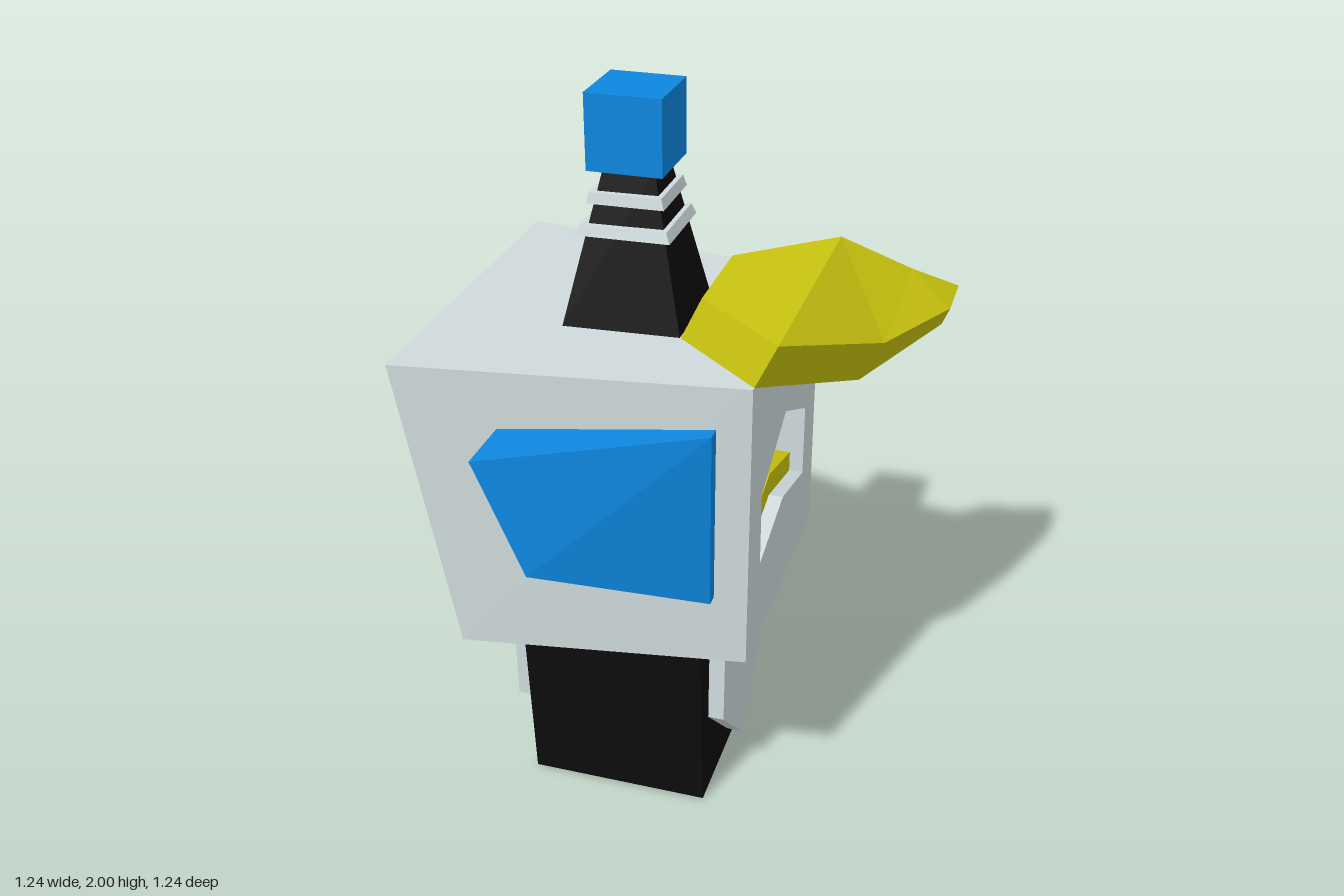
import * as THREE from 'three';

const mat = (color, side = THREE.FrontSide) =>
  new THREE.MeshStandardMaterial({ color, flatShading: true, side });
const white = mat(0xcfdadc), black = mat(0x0c0c0c), blue = mat(0x0d87e0),
  yellow = mat(0xc9c40f), grey = mat(0xe0e0e0);

// Joins two matching loops, counter-clockwise as seen from loop b's side.
function loft(a, b, { caps = true, skip = -1, capTris } = {}) {
  const pos = [], n = a.length;
  const tri = (...pts) => pts.forEach((p) => pos.push(...p));
  for (let i = 0; i < n; i++) {
    if (i === skip) continue;
    const j = (i + 1) % n;
    tri(a[i], a[j], b[j]);
    tri(a[i], b[j], b[i]);
  }
  if (caps) {
    const tris = capTris ?? Array.from({ length: n - 2 }, (_, i) => [0, i + 1, i + 2]);
    for (const [i, j, k] of tris) {
      tri(b[i], b[j], b[k]);
      tri(a[k], a[j], a[i]);
    }
  }
  const g = new THREE.BufferGeometry();
  g.setAttribute('position', new THREE.Float32BufferAttribute(pos, 3));
  g.computeVertexNormals();
  return g;
}

// Four-cornered horizontal loop with its own half depth at the back and front.
const quad = (y, x0, x1, zBack, zFront = zBack) =>
  [[x0, y, zBack], [x1, y, zFront], [x1, y, -zFront], [x0, y, -zBack]];

const shapeOf = (pts) => new THREE.Shape(pts.map(([u, v]) => new THREE.Vector2(u, v)));

// Flat outline turned to face +x, starting at x, optionally given thickness.
function facing(shape, x, depth = 0) {
  const g = depth
    ? new THREE.ExtrudeGeometry(shape, { depth, bevelEnabled: false })
    : new THREE.ShapeGeometry(shape);
  return g.rotateY(Math.PI / 2).translate(x, 0, 0);
}

export function createModel() {
  const model = new THREE.Group();
  const add = (name, geometry, material) => {
    const m = new THREE.Mesh(geometry, material);
    m.name = name;
    model.add(m);
  };

  // Neck block with a pale underside
  add('neck', loft(quad(0.002, -0.39, 0.12, 0.265, 0.26), quad(0.61, -0.39, 0.12, 0.305, 0.295)), black);
  add('neckBase', loft(quad(0, -0.39, 0.12, 0.265, 0.26), quad(0.002, -0.39, 0.12, 0.265, 0.26)), grey);

  // Panels on the neck
  add('frontPanel', facing(shapeOf(
    [[0, 0.05], [0.21, 0.265], [0.2, 0.585], [-0.2, 0.585], [-0.21, 0.265]]), 0.115, 0.05), white);
  add('backPanel', facing(shapeOf(
    [[-0.24, 0.245], [0.24, 0.245], [0.24, 0.56], [-0.24, 0.56]]), -0.445, 0.06), white);

  // Head shell, open at the front, closed by a face with a mouth opening
  add('head', loft(quad(0.61, -0.48, 0.265, 0.49, 0.365), quad(1.408, -0.62, 0.265, 0.49, 0.355),
    { skip: 1 }), white);
  const mouth = [[-0.24, 0.84], [0, 0.9], [0.24, 0.84], [0.24, 1.05], [0, 1.165], [-0.24, 1.05]];
  const face = shapeOf([[-0.365, 0.61], [0.365, 0.61], [0.355, 1.408], [-0.355, 1.408]]);
  face.holes.push(new THREE.Path(mouth.map(([u, v]) => new THREE.Vector2(u, v))));
  add('face', facing(face, 0.265), white);

  // Mouth recess, its dark back and the lip
  const ring = (x) => mouth.map(([u, v]) => [x, v, -u]);
  add('mouthRecess', loft(ring(0.265), ring(0.18), { caps: false }), white);
  add('mouthBack', facing(shapeOf(mouth), 0.18), black);
  add('lip', facing(shapeOf(
    [[-0.24, 0.84], [0, 0.9], [0.24, 0.84], [0.24, 0.9], [0, 0.965], [-0.24, 0.9]]), 0.181, 0.045), yellow);

  // Ears: wedges flaring out toward the back
  const ear = [ // x, y, inner z, outer z
    [-0.23, 0.945, 0.42, 0.612], [0.18, 0.81, 0.36, 0.41],
    [0.18, 1.295, 0.36, 0.41], [-0.355, 1.255, 0.44, 0.62],
  ];
  for (const s of [1, -1]) {
    const pts = s > 0 ? ear : [ear[0], ...ear.slice(1).reverse()];
    add(s > 0 ? 'rightEar' : 'leftEar',
      loft(pts.map(([x, y, z]) => [x, y, s * z]), pts.map(([x, y, , z]) => [x, y, s * z])), blue);
  }

  // Lopsided visor, its brim swept to one side
  const brimBottom = [
    [0.02, 1.408, 0.14], [0.265, 1.408, 0.345], [0.44, 1.25, -0.07], [0.6, 1.275, -0.415],
    [0.6, 1.275, -0.575], [0.44, 1.3, -0.47], [0.265, 1.408, -0.35], [0.02, 1.408, -0.14],
  ];
  const brimTop = [
    [0.075, 1.525, 0.14], [0.32, 1.525, 0.345], [0.5, 1.365, -0.07], [0.62, 1.325, -0.415],
    [0.62, 1.325, -0.575], [0.5, 1.405, -0.47], [0.32, 1.525, -0.35], [0.075, 1.525, -0.14],
  ];
  add('visor', loft(brimBottom, brimTop, {
    capTris: [[0, 1, 6], [0, 6, 7], [1, 2, 6], [2, 5, 6], [2, 3, 5], [3, 4, 5]],
  }), yellow);

  // Antenna: tapered post, two collars and a cube on top
  add('antennaPost', loft(quad(1.405, -0.29, 0.018, 0.16, 0.14), quad(1.81, -0.2, -0.07, 0.066, 0.06)), black);
  add('lowerCollar', loft(quad(1.643, -0.258, -0.016, 0.122, 0.114), quad(1.67, -0.25, -0.027, 0.114, 0.106)), white);
  add('upperCollar', loft(quad(1.722, -0.236, -0.036, 0.102, 0.096), quad(1.75, -0.23, -0.044, 0.096, 0.09)), white);
  add('antennaCube', new THREE.BoxGeometry(0.197, 0.195, 0.197).translate(-0.136, 1.9025, 0), blue);

  return model;
}
